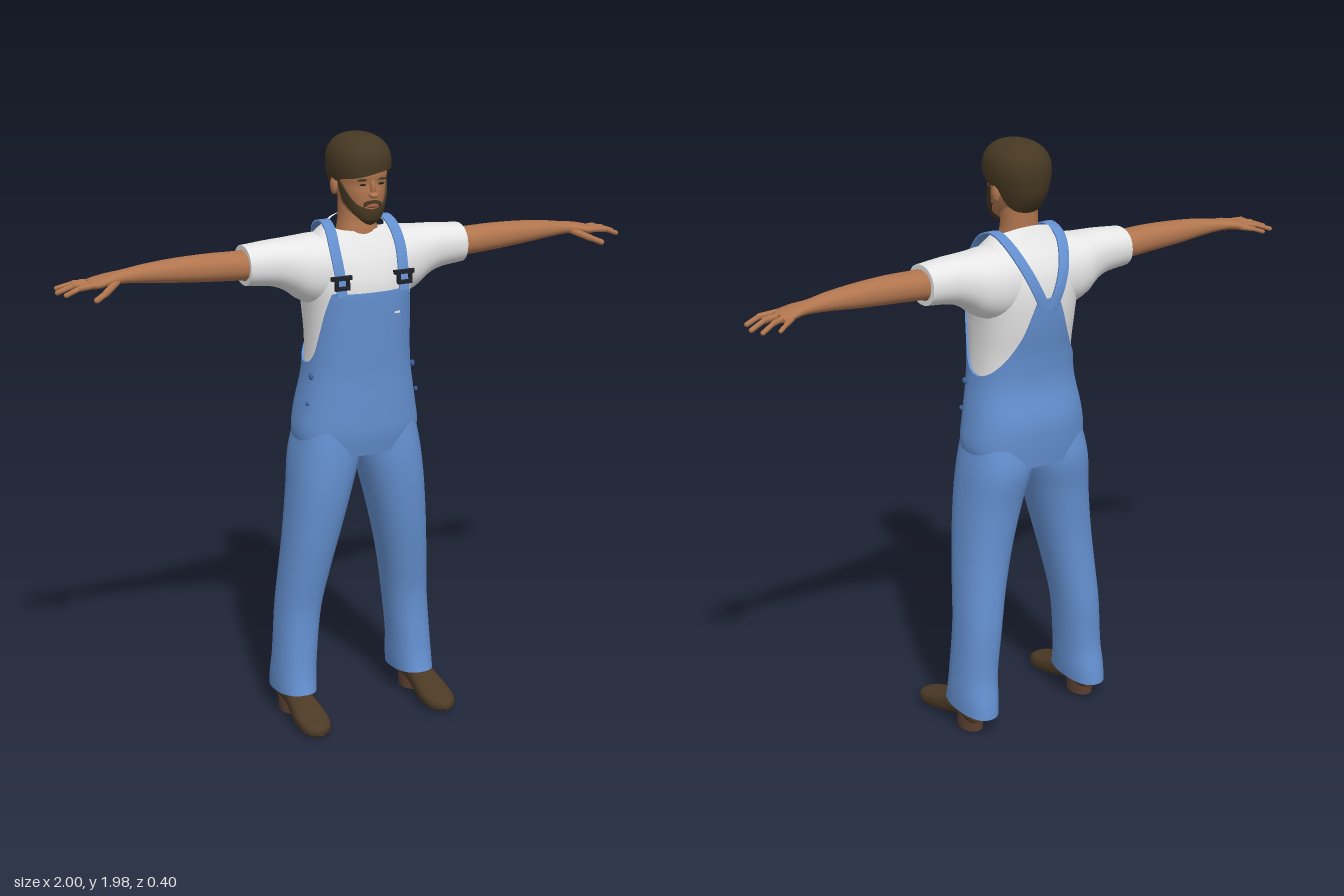
import * as THREE from 'three';
import { mergeGeometries } from 'three/addons/utils/BufferGeometryUtils.js';

const paint = (name, color) => {
  const m = new THREE.MeshStandardMaterial({ color });
  m.name = name;
  return m;
};

// Smooth interpolation through rows of [t, a, b, ...]
function curve(keys, t) {
  const n = keys.length;
  if (t <= keys[0][0]) return keys[0].slice(1);
  if (t >= keys[n - 1][0]) return keys[n - 1].slice(1);
  let i = 0;
  while (keys[i + 1][0] < t) i++;
  const h = keys[i + 1][0] - keys[i][0], s = (t - keys[i][0]) / h;
  const slope = (k, c) => {
    const p = keys[Math.max(k - 1, 0)], q = keys[Math.min(k + 1, n - 1)];
    return (q[c] - p[c]) / (q[0] - p[0]);
  };
  return keys[i].slice(1).map((v, j) => {
    const c = j + 1, w = keys[i + 1][c];
    return v * (2 * s ** 3 - 3 * s * s + 1) + w * (3 * s * s - 2 * s ** 3)
      + h * (slope(i, c) * (s ** 3 - 2 * s * s + s) + slope(i + 1, c) * (s ** 3 - s * s));
  });
}

// Skin over cross-sections [y, x0, x1, zFront, zBack]; lo and hi may vary with the angle (0 = front)
function shell(keys, o = {}) {
  const { p = 2.2, lo = () => keys[0][0], hi = () => keys[keys.length - 1][0], from = -Math.PI, to = Math.PI,
    nu = 40, nv = 24, off = 0, rimLo = null, rimHi = null, ease = s => s } = o;
  const closed = to - from > 6.28, cols = closed ? nu : nu + 1;
  const rows = [];
  if (rimLo !== null) rows.push([0, rimLo], [0, 1]);
  for (let i = 0; i <= nv; i++) rows.push([ease(i / nv), 1]);
  if (rimHi !== null) rows.push([1, 1], [1, rimHi]);
  const pos = [], idx = [];
  const pw = v => Math.sign(v) * Math.abs(v) ** (2 / p);
  rows.forEach(([v, k], r) => {
    for (let c = 0; c < cols; c++) {
      const a = from + (to - from) * c / nu, y = lo(a) + (hi(a) - lo(a)) * v;
      const [x0, x1, zf, zb] = curve(keys, y);
      pos.push((x0 + x1) / 2 + k * ((x1 - x0) / 2 + off) * pw(Math.sin(a)), y,
        (zf + zb) / 2 + k * ((zf - zb) / 2 + off) * pw(Math.cos(a)));
      if (r && c < nu) {
        const d = (c + 1) % cols, A = (r - 1) * cols, B = r * cols;
        idx.push(A + c, A + d, B + d, A + c, B + d, B + c);
      }
    }
  });
  const g = new THREE.BufferGeometry();
  g.setAttribute('position', new THREE.Float32BufferAttribute(pos, 3));
  g.setIndex(idx);
  g.computeVertexNormals();
  return g;
}

// Mirror a geometry or swap its axes, keeping its faces outward
function flip(geo, map) {
  const g = geo.clone(), P = g.attributes.position, I = g.index;
  for (let i = 0; i < P.count; i++) P.setXYZ(i, ...map(P.getX(i), P.getY(i), P.getZ(i)));
  for (let i = 0; i < I.count; i += 3) {
    const t = I.getX(i);
    I.setX(i, I.getX(i + 1));
    I.setX(i + 1, t);
  }
  g.computeVertexNormals();
  return g;
}
const alongX = g => flip(g, (x, y, z) => [y, x, z]);
const alongZ = g => flip(g, (x, y, z) => [x, z, y]);
const sym = rows => rows.map(([y, r, f, b]) => [y, -r, r, f, b]);
const blob = (x, y, z, a, b, c) => new THREE.SphereGeometry(1, 20, 14).scale(a, b, c).translate(x, y, z);
const box = (x, y, z, a, b, c) => new THREE.BoxGeometry(a, b, c).translate(x, y, z);

// Rounded finger bone between two points
function bone(a, b, r) {
  const A = new THREE.Vector3(...a), B = new THREE.Vector3(...b), d = B.clone().sub(A);
  const q = new THREE.Quaternion().setFromUnitVectors(new THREE.Vector3(0, 1, 0), d.clone().normalize());
  return new THREE.CapsuleGeometry(r, d.length(), 5, 10).applyQuaternion(q).translate(...A.add(B).multiplyScalar(0.5).toArray());
}

// Flat band following a path
function band(points, width, thick) {
  const path = new THREE.CatmullRomCurve3(points.map(p => new THREE.Vector3(...p)));
  const pos = [], idx = [], n = 40;
  for (let i = 0; i <= n; i++) {
    const c = path.getPoint(i / n), t = path.getTangent(i / n);
    const s = new THREE.Vector3(1, 0, 0).addScaledVector(t, -t.x).normalize();
    const m = s.clone().cross(t);
    for (const [u, v] of [[-1, -1], [1, -1], [1, 1], [-1, 1]])
      pos.push(...c.clone().addScaledVector(s, u * width / 2).addScaledVector(m, v * thick / 2).toArray());
    if (i) for (let k = 0; k < 4; k++) {
      const a = (i - 1) * 4 + k, b = (i - 1) * 4 + (k + 1) % 4;
      idx.push(a, b + 4, b, a, a + 4, b + 4);
    }
  }
  const g = new THREE.BufferGeometry();
  g.setAttribute('position', new THREE.Float32BufferAttribute(pos, 3));
  g.setIndex(idx);
  g.computeVertexNormals();
  return g;
}

export function createModel() {
  const man = new THREE.Group();
  man.name = 'workman';
  const denim = paint('denim', 0x6490d0), cotton = paint('white cotton', 0xe6e6e6), skin = paint('skin', 0xb0754e);
  const hair = paint('dark brown hair', 0x463822), leather = paint('brown leather', 0x4c3a26);
  const heelBrown = paint('heel brown', 0x5c4030), metal = paint('dark metal', 0x20222a);
  const lipTone = paint('lip', 0x96583f), stud = paint('dark denim stud', 0x3f629c);
  const add = (name, geo, mat) => {
    const m = new THREE.Mesh(geo, mat);
    m.name = name;
    man.add(m);
  };
  const pair = (name, geo, mat) => {
    add(name + 'Left', geo, mat);
    add(name + 'Right', flip(geo, (x, y, z) => [-x, y, z]), mat);
  };

  // Torso: shirt and overalls share one set of sections
  const torso = sym([[0.93, 0.195, 0.08, -0.175], [1, 0.207, 0.092, -0.182], [1.08, 0.197, 0.094, -0.183],
    [1.2, 0.176, 0.094, -0.16], [1.3, 0.17, 0.099, -0.164], [1.4, 0.174, 0.103, -0.18], [1.5, 0.185, 0.103, -0.186],
    [1.57, 0.185, 0.085, -0.175], [1.62, 0.17, 0.06, -0.15], [1.66, 0.13, 0.035, -0.12], [1.69, 0.095, 0.015, -0.1],
    [1.705, 0.075, 0.01, -0.09]]);
  add('shirtBody', shell(torso, { p: 2.4, lo: () => 1.15, hi: a => 1.687 - 0.021 * Math.cos(a), nu: 64, nv: 40, rimHi: 0.9 }), cotton);
  const bibTop = [[0, 1.48], [0.5, 1.48], [0.74, 1.48], [0.8, 1.46], [0.95, 1.41], [1.12, 1.34], [1.3, 1.27], [1.6, 1.235],
    [2, 1.25], [2.4, 1.3], [2.7, 1.37], [2.92, 1.46], [3, 1.495], [3.15, 1.495]];
  add('overallsBody', shell(torso, { p: 2.4, off: 0.007, hi: a => curve(bibTop, Math.abs(a))[0], nu: 128, nv: 36, rimLo: 0, rimHi: 0.95 }), denim);

  // Trouser legs
  pair('trouserLeg', shell([[0.075, 0.155, 0.287, 0.05, -0.185], [0.12, 0.15, 0.288, 0.036, -0.178], [0.2, 0.146, 0.283, 0.026, -0.164],
    [0.37, 0.128, 0.272, 0.022, -0.165], [0.5, 0.105, 0.262, 0.042, -0.158], [0.64, 0.073, 0.25, 0.066, -0.155],
    [0.8, 0.032, 0.236, 0.085, -0.165], [0.92, 0.001, 0.223, 0.088, -0.182], [1.03, -0.005, 0.2, 0.08, -0.165]],
  { p: 2.3, lo: a => 0.08 + 0.012 * Math.cos(a), nv: 40, rimLo: 0.3 }), denim);

  // Sleeves, arms and hands
  pair('sleeve', alongX(shell([[0.08, 1.42, 1.655, 0.07, -0.17], [0.15, 1.425, 1.654, 0.064, -0.168], [0.2, 1.445, 1.65, 0.052, -0.16],
    [0.24, 1.475, 1.648, 0.04, -0.145], [0.29, 1.498, 1.646, 0.03, -0.133], [0.385, 1.51, 1.638, 0.018, -0.123]],
  { rimHi: 0.75 })), cotton);
  pair('arm', alongX(shell([[0.3, 1.525, 1.625, 0, -0.11], [0.4, 1.53, 1.622, 0.005, -0.106], [0.5, 1.536, 1.624, 0, -0.1],
    [0.62, 1.545, 1.62, -0.01, -0.098], [0.72, 1.555, 1.611, -0.02, -0.092], [0.79, 1.56, 1.6, -0.028, -0.09],
    [0.83, 1.56, 1.595, -0.018, -0.097], [0.87, 1.554, 1.586, -0.012, -0.106], [0.895, 1.555, 1.578, -0.02, -0.104]],
  { nv: 36, rimHi: 0 })), skin);
  const fingers = [
    [[0.81, 1.572, -0.035], [0.86, 1.55, 0.005], [0.895, 1.535, 0.02], 0.0115],
    [[0.87, 1.572, -0.025], [0.935, 1.567, -0.02], [0.978, 1.55, -0.022], 0.0095],
    [[0.87, 1.572, -0.052], [0.94, 1.567, -0.062], [0.99, 1.548, -0.072], 0.0095],
    [[0.87, 1.57, -0.076], [0.93, 1.566, -0.1], [0.978, 1.55, -0.12], 0.009],
    [[0.86, 1.567, -0.092], [0.9, 1.562, -0.122], [0.93, 1.552, -0.14], 0.008]];
  pair('fingers', mergeGeometries(fingers.flatMap(([a, b, c, r]) => [bone(a, b, r), bone(b, c, r * 0.85)])), skin);

  // Shoes with heels
  pair('shoe', alongZ(shell([[-0.13, 0.205, 0.255, 0.075, 0.035], [-0.11, 0.19, 0.268, 0.095, 0.03], [-0.03, 0.188, 0.27, 0.11, 0.03],
    [0.04, 0.182, 0.28, 0.09, 0.012], [0.11, 0.176, 0.287, 0.066, 0.002], [0.165, 0.186, 0.28, 0.05, 0.001],
    [0.188, 0.205, 0.262, 0.04, 0.004], [0.198, 0.222, 0.245, 0.03, 0.012]], { p: 2.6, rimLo: 0, rimHi: 0 })), leather);
  pair('shoeHeel', new THREE.CylinderGeometry(0.04, 0.038, 0.05, 24).scale(1, 1, 1.35).translate(0.229, 0.025, -0.07), heelBrown);

  // Shoulder straps, buckles, studs and the chest pocket slit
  pair('strap', band([[0.11, 1.475, 0.1], [0.112, 1.55, 0.084], [0.115, 1.62, 0.055], [0.11, 1.675, 0.01], [0.105, 1.693, -0.045],
    [0.1, 1.668, -0.112], [0.075, 1.6, -0.167], [0.045, 1.53, -0.19], [0.012, 1.46, -0.193]], 0.034, 0.008), denim);
  pair('buckle', mergeGeometries([box(0.11, 1.535, 0.096, 0.07, 0.013, 0.014), box(0.11, 1.503, 0.102, 0.05, 0.012, 0.012),
    ...[-1, 1].map(s => box(0.11 + s * 0.02, 1.518, 0.1, 0.01, 0.036, 0.012))]), metal);
  pair('sideStuds', mergeGeometries([blob(0.183, 1.2, 0.016, 0.007, 0.011, 0.011), blob(0.197, 1.11, 0.016, 0.006, 0.008, 0.008)]), stud);
  add('pocketSlit', box(0.08, 1.405, 0.098, 0.026, 0.006, 0.009), cotton);

  // Neck and head
  add('neck', shell(sym([[1.6, 0.08, 0.04, -0.08], [1.66, 0.068, 0.037, -0.085], [1.7, 0.06, 0.031, -0.085], [1.77, 0.058, 0.03, -0.085]])), skin);
  add('head', shell(sym([[1.712, 0.025, 0.07, 0.01], [1.73, 0.047, 0.087, -0.03], [1.76, 0.064, 0.092, -0.07], [1.8, 0.075, 0.094, -0.1],
    [1.826, 0.079, 0.091, -0.11], [1.85, 0.082, 0.096, -0.115], [1.9, 0.083, 0.088, -0.12], [1.945, 0.055, 0.05, -0.08]]),
  { rimLo: 0, rimHi: 0 }), skin);
  add('nose', mergeGeometries([blob(0, 1.793, 0.098, 0.015, 0.01, 0.018), blob(0, 1.815, 0.092, 0.009, 0.026, 0.014)]), skin);
  pair('ear', blob(0.083, 1.812, -0.018, 0.011, 0.03, 0.018), skin);
  pair('eye', blob(0.031, 1.826, 0.086, 0.012, 0.0035, 0.004), metal);
  pair('eyebrow', blob(0.033, 1.842, 0.089, 0.019, 0.004, 0.005), hair);
  add('lips', blob(0, 1.757, 0.091, 0.02, 0.006, 0.007), lipTone);

  // Hair cap, swept lower on one side of the forehead
  const hairline = [[0, 1.862], [0.7, 1.858], [1.15, 1.85], [1.4, 1.835], [1.7, 1.835], [1.95, 1.79], [2.4, 1.762], [3.15, 1.752]];
  add('hair', shell(sym([[1.74, 0.064, 0.08, -0.08], [1.8, 0.082, 0.1, -0.122], [1.86, 0.096, 0.108, -0.136], [1.9, 0.097, 0.108, -0.136],
    [1.93, 0.088, 0.097, -0.126], [1.955, 0.067, 0.072, -0.102], [1.97, 0.038, 0.036, -0.066], [1.976, 0.003, -0.012, -0.018]]),
  { lo: a => curve(hairline, Math.abs(a))[0] + 0.022 * Math.sin(a) * Math.max(Math.cos(a), 0),
    ease: s => Math.sin(s * Math.PI / 2), nu: 72, nv: 32, rimLo: 0.8, rimHi: 0 }), hair);

  // Beard along the jaw, and moustache
  const face = sym([[1.692, 0.022, 0.075, 0.01], [1.71, 0.043, 0.092, -0.01], [1.735, 0.06, 0.098, -0.04],
    [1.76, 0.071, 0.098, -0.072], [1.8, 0.08, 0.1, -0.1], [1.85, 0.087, 0.1, -0.115]]);
  const beardTop = [[0, 1.746], [0.45, 1.754], [0.8, 1.768], [1.1, 1.8], [1.45, 1.845]];
  const beardLow = [[0, 1.693], [0.6, 1.7], [1, 1.722], [1.45, 1.77]];
  add('beard', shell(face, { from: -1.45, to: 1.45, lo: a => curve(beardLow, Math.abs(a))[0],
    hi: a => curve(beardTop, Math.abs(a))[0], rimLo: 0.5, rimHi: 0.85 }), hair);
  add('moustache', shell(face, { from: -0.42, to: 0.42, lo: a => 1.766 - 0.08 * a * a, hi: a => 1.776 - 0.05 * a * a,
    nv: 4, rimLo: 0.85, rimHi: 0.85 }), hair);
  return man;
}
